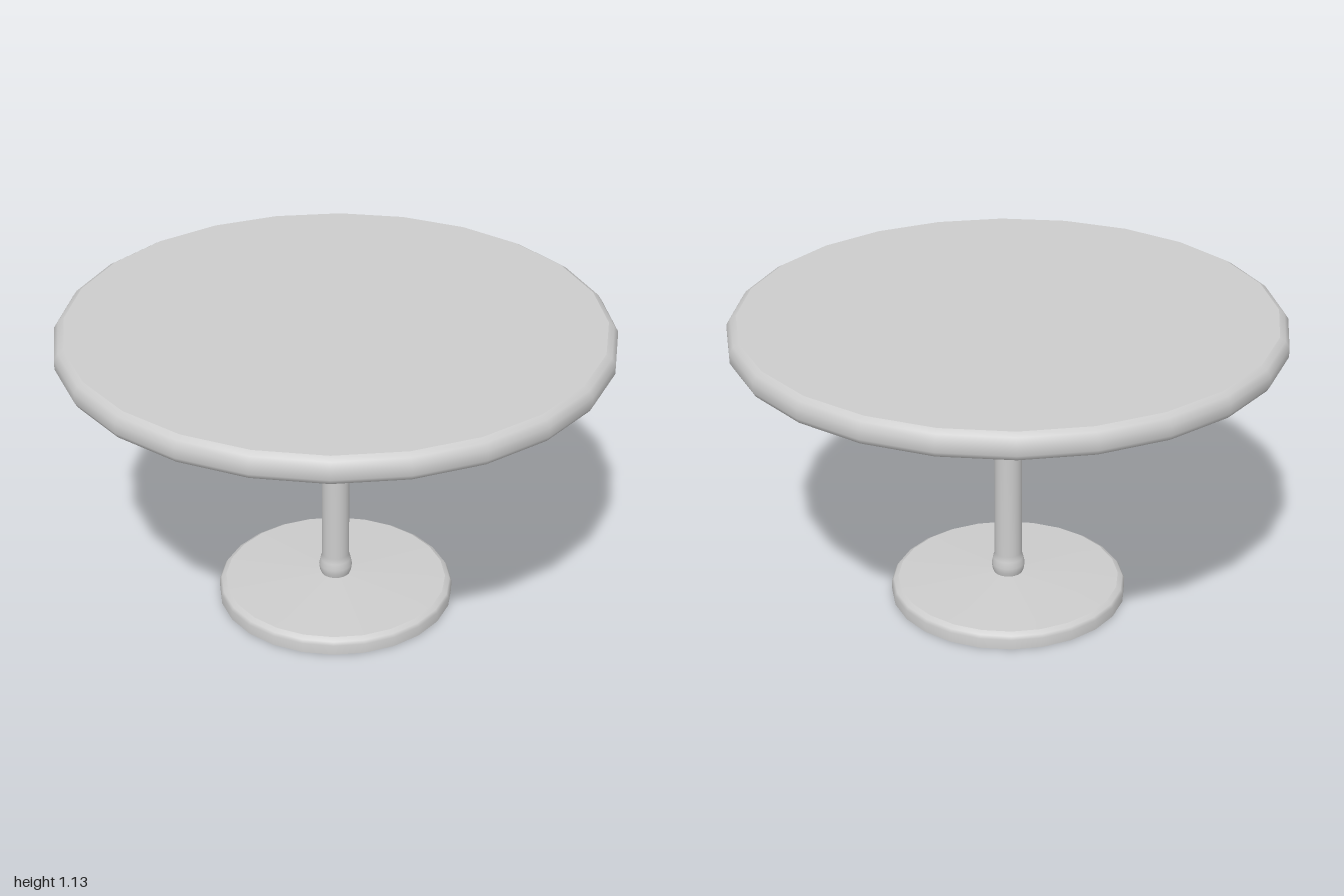
import * as THREE from 'three';

export function createModel() {
  const table = new THREE.Group();
  table.name = 'pedestalTable';

  const grey = new THREE.MeshStandardMaterial({ color: 0xcccccc, side: THREE.DoubleSide });
  grey.name = 'light grey';

  // Turned part from a [radius, height] profile, listed bottom to top on the outside
  function turned(name, profile, sides, parent) {
    const points = profile.map(([r, y]) => new THREE.Vector2(r, y));
    const mesh = new THREE.Mesh(new THREE.LatheGeometry(points, sides), grey);
    mesh.name = name;
    parent.add(mesh);
  }

  function group(name) {
    const g = new THREE.Group();
    g.name = name;
    table.add(g);
    return g;
  }

  // Table top: bevelled rim, flat upper face, recessed underside
  const top = group('tableTop');
  turned('topRim', [[0.965, 1.03], [0.99, 1.042], [1, 1.06], [1, 1.095], [0.985, 1.118], [0.965, 1.13]], 24, top);
  turned('topSurface', [[0.965, 1.13], [0, 1.13]], 24, top);
  turned('topLip', [[0.95, 1.03], [0.965, 1.03]], 24, top);
  turned('topInnerWall', [[0.95, 1.1], [0.95, 1.03]], 24, top);
  turned('topUnderside', [[0, 1.1], [0.95, 1.1]], 24, top);

  // Column: hollow tube with a foot bead, a swelling neck and a collar
  const column = group('column');
  turned('columnShaft', [
    [0.053, 0.075], [0.06, 0.095], [0.062, 0.115], [0.057, 0.14], [0.051, 0.16],
    [0.051, 0.81], [0.06, 0.85], [0.07, 0.885], [0.071, 0.905], [0.068, 0.93],
    [0.069, 0.96], [0.074, 0.99], [0.079, 1.035],
  ], 24, column);
  turned('collarStep', [[0.079, 1.035], [0.09, 1.035]], 24, column);
  turned('collar', [[0.09, 1.035], [0.09, 1.1]], 24, column);

  // Base: thin shallow dish, open underneath, with a hole under the column
  const base = group('base');
  turned('baseRim', [[0.44, 0], [0.44, 0.038], [0.432, 0.05], [0.415, 0.06]], 24, base);
  turned('baseCone', [[0.415, 0.06], [0.053, 0.08]], 24, base);

  return table;
}
